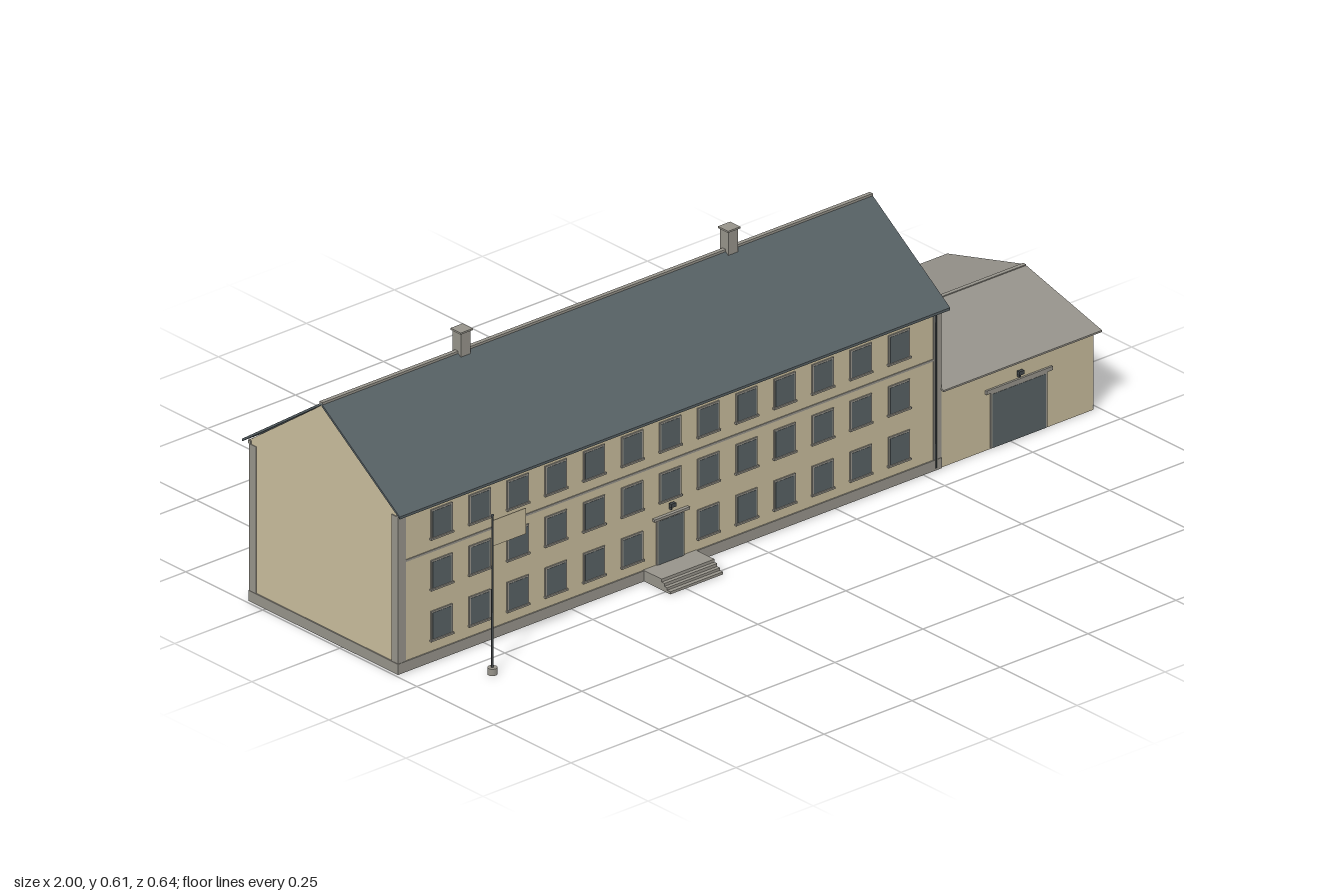
import * as THREE from 'three';

const mat = (name, color) => {
  const m = new THREE.MeshStandardMaterial({ color });
  m.name = name;
  return m;
};

export function createModel() {
  const plaster = mat('plaster', 0xc9bd9d);
  const stone = mat('stone', 0x97948b);
  const slate = mat('slate', 0x566064);
  const glass = mat('glass', 0x596265);
  const metal = mat('darkMetal', 0x42474a);
  const sheet = mat('sheetRoof', 0x95928a);

  const model = new THREE.Group();
  model.name = 'longBuilding';
  const CZ = -0.0615, FRONT = 0.178, BACK = -0.301;

  const add = (name, geo, m, parent = model) => {
    const mesh = new THREE.Mesh(geo, m);
    mesh.name = name;
    parent.add(mesh);
    return mesh;
  };
  // Box given by its limits on each axis
  const box = (name, m, x0, x1, y0, y1, z0, z1, parent = model) => {
    const mesh = add(name, new THREE.BoxGeometry(x1 - x0, y1 - y0, z1 - z0), m, parent);
    mesh.position.set((x0 + x1) / 2, (y0 + y1) / 2, (z0 + z1) / 2);
    return mesh;
  };
  // Profile of [z, y] points extruded along x
  const extrudeX = (name, m, pts, x0, x1) => {
    const shape = new THREE.Shape(pts.map(([z, y]) => new THREE.Vector2(-z, y)));
    const geo = new THREE.ExtrudeGeometry(shape, { depth: x1 - x0, bevelEnabled: false });
    geo.rotateY(Math.PI / 2).translate(x0, 0, 0);
    return add(name, geo, m);
  };
  const gable = (base, eave, ridge) => [[FRONT, base], [FRONT, eave], [CZ, ridge], [BACK, eave], [BACK, base]];
  const chevron = (half, eave, ridge, t) => [
    [CZ + half, eave], [CZ, ridge], [CZ - half, eave],
    [CZ - half, eave - t], [CZ, ridge - t], [CZ + half, eave - t],
  ];

  // Window or door, standing on a wall that faces local +z
  const opening = (name, x, y, z, turn, w, h, sill) => {
    const g = new THREE.Group();
    g.name = name;
    const f = 0.004;
    box('frame', stone, -w / 2 - f, w / 2 + f, -h / 2 - (sill ? f : 0), h / 2 + f, 0, 0.003, g);
    box('pane', glass, -w / 2, w / 2, -h / 2, h / 2, 0.001, 0.0036, g);
    if (sill) box('sill', stone, -w / 2 - 0.006, w / 2 + 0.006, -h / 2 - 0.005, -h / 2 - 0.001, 0, 0.006, g);
    g.position.set(x, y, z);
    g.rotation.y = turn;
    model.add(g);
  };

  // Main block, with a floor set back inside the plinth
  extrudeX('mainWalls', plaster, gable(0.021, 0.384, 0.554), -0.99, 0.55);
  extrudeX('mainRoof', slate, chevron(0.256, 0.382, 0.56, 0.006), -1, 0.564);
  box('mainRidgeCap', stone, -1, 0.564, 0.554, 0.562, CZ - 0.005, CZ + 0.005);
  box('mainFloor', stone, -0.988, 0.549, 0.018, 0.022, BACK, FRONT);
  for (const [x0, x1] of [[-0.993, -0.985], [0.545, 0.553]])
    box('plinthEnd', stone, x0, x1, 0, 0.025, BACK - 0.003, FRONT + 0.003);

  // Plinth, corner strips, cornice, string course and downpipe on both long sides
  for (const s of [1, -1]) {
    const wall = s > 0 ? FRONT : BACK;
    const slab = (name, m, x0, x1, y0, y1, inner, outer) => {
      const a = wall + s * inner, b = wall + s * outer;
      box(name, m, x0, x1, y0, y1, Math.min(a, b), Math.max(a, b));
    };
    slab('plinthSide', stone, -0.99, 0.55, 0, 0.025, -0.005, 0.003);
    slab('cornerStrip', stone, -0.992, -0.969, 0, 0.373, -0.02, 0.002);
    slab('cornerStrip', stone, 0.529, 0.552, 0, 0.373, -0.02, 0.002);
    slab('stringCourse', stone, -0.969, 0.529, 0.26, 0.265, 0, 0.002);
    slab('cornice', stone, -0.992, 0.552, 0.373, 0.381, -0.003, 0.006);
    const pipe = add('downpipe', new THREE.CylinderGeometry(0.002, 0.002, 0.37, 8), metal);
    pipe.position.set(0.536, 0.19, wall + s * 0.002);
  }

  // Three rows of windows, with the front door in the bottom row
  for (let row = 0; row < 3; row++) {
    for (let col = 0; col < 13; col++) {
      const x = -0.868 + col * 0.1083, y = 0.085 + row * 0.1205;
      if (row > 0 || col !== 6) opening('frontWindow', x, y, FRONT, 0, 0.053, 0.062, true);
      opening('backWindow', x, y, BACK, Math.PI, 0.053, 0.062, true);
    }
  }
  opening('frontDoor', -0.218, 0.077, FRONT, 0, 0.07, 0.104, false);
  box('doorCanopy', stone, -0.268, -0.168, 0.133, 0.139, FRONT, FRONT + 0.008);

  // Entrance steps
  [[0.238, 0.026], [0.247, 0.019], [0.256, 0.012], [0.266, 0.006]].forEach(([z, h]) =>
    box('entranceStep', stone, -0.294, -0.144, 0, h, FRONT, z));

  // Chimneys
  for (const x of [-0.6, 0.16]) {
    box('chimney', stone, x - 0.014, x + 0.014, 0.53, 0.607, CZ - 0.0135, CZ + 0.0135);
    box('chimneyCap', stone, x - 0.0175, x + 0.0175, 0.606, 0.61, CZ - 0.0165, CZ + 0.0165);
  }

  // Low wing, hollow and open underneath
  extrudeX('wingEndWall', plaster, gable(0, 0.187, 0.249), 0.98, 0.985);
  box('wingFrontWall', plaster, 0.55, 0.98, 0, 0.187, FRONT - 0.005, FRONT);
  box('wingBackWall', plaster, 0.55, 0.98, 0, 0.187, BACK, BACK + 0.005);
  box('wingPlinth', stone, 0.983, 0.986, 0, 0.012, BACK, FRONT);
  extrudeX('wingRoof', sheet, chevron(0.251, 0.188, 0.254, 0.004), 0.55, 1);
  box('wingRidgeCap', sheet, 0.55, 1, 0.25, 0.255, CZ - 0.005, CZ + 0.005);
  for (const z of [0.069, CZ, -0.192]) opening('wingWindow', 0.985, 0.096, z, Math.PI / 2, 0.052, 0.045, true);
  opening('wingGate', 0.772, 0.066, FRONT, 0, 0.152, 0.128, false);
  box('gateLintel', stone, 0.678, 0.866, 0.134, 0.143, FRONT, FRONT + 0.005);

  // Lamps over both doors
  for (const x of [-0.219, 0.77]) {
    box('lampArm', metal, x - 0.002, x + 0.002, 0.148, 0.158, FRONT, FRONT + 0.008);
    box('lampHead', metal, x - 0.007, x + 0.007, 0.156, 0.165, FRONT + 0.006, FRONT + 0.014);
  }

  // Flagpole
  const px = -0.838, pz = 0.31;
  add('flagpoleBase', new THREE.CylinderGeometry(0.011, 0.011, 0.016, 12), stone).position.set(px, 0.008, pz);
  add('flagpole', new THREE.CylinderGeometry(0.0022, 0.0026, 0.36, 8), metal).position.set(px, 0.194, pz);
  add('flagpoleBall', new THREE.SphereGeometry(0.0035, 10, 8), metal).position.set(px, 0.376, pz);
  box('flag', plaster, px, px + 0.095, 0.303, 0.364, pz - 0.001, pz + 0.001);

  return model;
}
